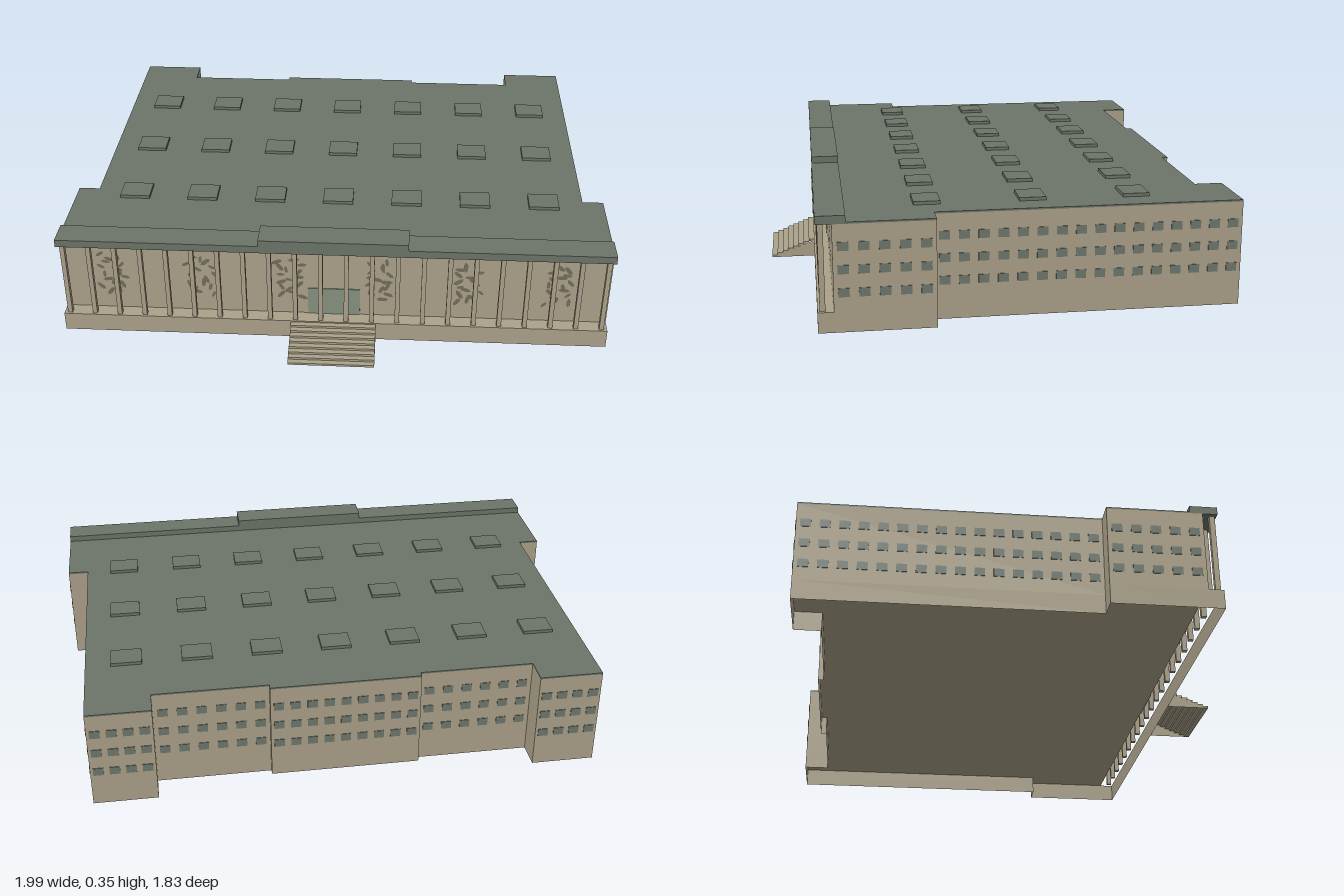
import * as THREE from 'three';
import { mergeGeometries } from 'three/addons/utils/BufferGeometryUtils.js';

const BASE = 0.06, TOP = 0.31, WALL_Z = 0.535, FRONT_Z = 0.58;

// Mirror-symmetric floor plan as [x, z] corners, from the middle of the back round to the front
function outline(frontZ) {
  const half = [[0.23, -0.575], [0.23, -0.557], [0.579, -0.557], [0.579, -0.64],
    [0.773, -0.64], [0.773, 0.25], [0.838, 0.25], [0.838, frontZ]];
  return [...half, ...half.map(([x, z]) => [-x, z]).reverse()];
}

// Solid prism over a floor plan
function prism(points, y0, y1) {
  const shape = new THREE.Shape(points.map(([x, z]) => new THREE.Vector2(x, -z)));
  return new THREE.ExtrudeGeometry(shape, { depth: y1 - y0, bevelEnabled: false })
    .rotateX(-Math.PI / 2).translate(0, y0, 0);
}

// Open ring of upright walls over a floor plan
function wallLoop(points, y0, y1) {
  const pos = [];
  points.forEach(([ax, az], i) => {
    const [bx, bz] = points[(i + 1) % points.length];
    pos.push(ax, y0, az, ax, y1, az, bx, y1, bz, ax, y0, az, bx, y1, bz, bx, y0, bz);
  });
  const g = new THREE.BufferGeometry();
  g.setAttribute('position', new THREE.Float32BufferAttribute(pos, 3));
  g.computeVertexNormals();
  return g;
}

// Box given by its centre in x and z and its bottom and top
function box(w, d, y0, y1, x, z) {
  return new THREE.BoxGeometry(w, y1 - y0, d).translate(x, (y0 + y1) / 2, z);
}

export function createModel() {
  const material = (name, color, side = THREE.FrontSide) => {
    const m = new THREE.MeshStandardMaterial({ color, side });
    m.name = name;
    return m;
  };
  const stone = material('tan stone', 0xaca28a, THREE.DoubleSide);
  const paving = material('tan paving', 0xaca28a);
  const roofing = material('grey green roofing', 0x6c7468);
  const glass = material('window glass', 0x6e786e);
  const doorGlass = material('door glass', 0x86937f);
  const bronze = material('relief bronze', 0x716d5e);

  const building = new THREE.Group();
  building.name = 'building';
  const add = (name, geometry, mat) => {
    const mesh = new THREE.Mesh(Array.isArray(geometry) ? mergeGeometries(geometry) : geometry, mat);
    mesh.name = name;
    building.add(mesh);
  };

  // Main block, open plinth and flat roof
  const plan = outline(WALL_Z);
  add('mainWalls', prism(plan, BASE, TOP), stone);
  add('plinth', wallLoop(outline(FRONT_Z), 0, BASE), stone);
  add('roof', prism(plan, TOP, TOP + 0.005), roofing);

  // Terrace under the colonnade
  const depth = FRONT_Z - WALL_Z;
  add('terrace', new THREE.PlaneGeometry(1.676, depth).rotateX(-Math.PI / 2)
    .translate(0, BASE, WALL_Z + depth / 2), paving);

  // Three floors of windows on every long wall except the front
  const windows = [];
  plan.forEach(([ax, az], i) => {
    const [bx, bz] = plan[(i + 1) % plan.length];
    const dx = bx - ax, dz = bz - az, len = Math.hypot(dx, dz);
    if (len < 0.12 || (az === WALL_Z && bz === WALL_Z)) return;
    const n = Math.round(len / 0.054);
    for (let k = 0; k < n; k++) {
      const t = (k + 0.5) / n;
      for (const y of [0.115, 0.181, 0.247]) {
        windows.push(new THREE.BoxGeometry(0.031, 0.025, 0.004)
          .rotateY(Math.atan2(dz, -dx)).translate(ax + dx * t, y, az + dz * t));
      }
    }
  });
  add('windows', windows, glass);

  // Colonnade
  const columns = [];
  for (let i = 0; i < 22; i++) {
    columns.push(box(0.014, 0.016, BASE, TOP, -0.82 + i * 1.64 / 21, 0.566));
  }
  add('columns', columns, stone);

  // Cornice with a raised middle
  add('cornice', box(1.676, 0.083, TOP, 0.334, 0, 0.5385), roofing);
  add('raisedCornice', box(0.45, 0.083, 0.334, 0.354, 0, 0.5385), roofing);

  // Entrance doors
  add('doors', box(0.16, 0.006, BASE, 0.155, 0, WALL_Z), doorGlass);

  // Scattered leaf-like wall reliefs
  let seed = 7;
  const rand = () => (seed = (seed * 16807) % 2147483647) / 2147483647;
  const reliefs = [];
  for (let i = 0; i < 6; i++) {
    const cx = (i - 2.5) * 0.273;
    for (let k = 0; k < 16; k++) {
      const y = 0.122 + k * 0.0092;
      const x = cx + 0.035 * Math.sin(k * 2.4 + i) + (rand() - 0.5) * 0.02;
      reliefs.push(new THREE.CircleGeometry(0.008 + rand() * 0.005, 6).scale(1.5, 0.6, 1)
        .rotateZ(rand() * Math.PI).translate(x, y, WALL_Z + 0.003));
    }
  }
  add('wallReliefs', reliefs, bronze);

  // Entrance steps
  const steps = [], count = 8, run = 0.137 / count;
  for (let i = 0; i < count; i++) {
    const h = 0.056 * (count - i) / count;
    steps.push(box(0.262, run, h - 0.007, h, 0, FRONT_Z + run * (i + 0.5)));
  }
  add('steps', steps, stone);
  const profile = new THREE.Shape([new THREE.Vector2(0, 0), new THREE.Vector2(0.137, 0), new THREE.Vector2(0, 0.052)]);
  const cheek = new THREE.ShapeGeometry(profile).rotateY(-Math.PI / 2);
  add('stepSides', [-0.131, 0.131].map(x => cheek.clone().translate(x, 0, FRONT_Z)), stone);

  // Three rows of rooflights
  const rooflights = [];
  for (const z of [-0.345, -0.041, 0.263]) {
    for (let i = -3; i <= 3; i++) rooflights.push(box(0.094, 0.078, TOP, 0.325, i * 0.216, z));
  }
  add('rooflights', rooflights, roofing);

  // Turn the building to its site angle
  building.rotation.y = -0.4835;
  building.position.set(0.01, 0, 0.006);
  const model = new THREE.Group();
  model.name = 'colonnadedBuilding';
  model.add(building);
  return model;
}
